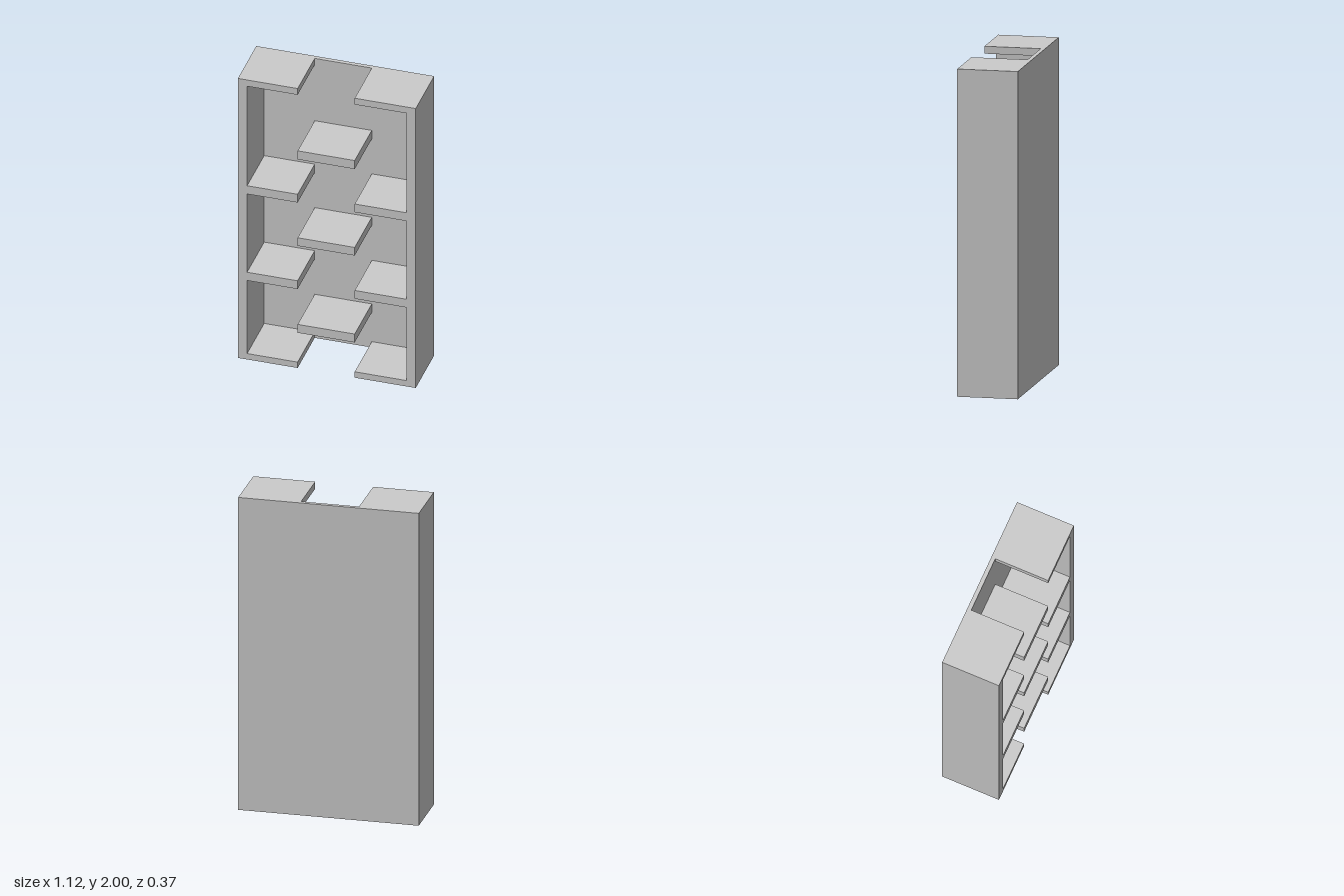
import * as THREE from 'three';

const FRONT = 0.186, BACK = -0.186, PANEL_FRONT = -0.16;
const OUTER = 0.558, WALL = 0.5;           // outer and inner faces of the side walls
const GAP_LEFT = 0.175, GAP_RIGHT = -0.183; // x of the side shelves' inner ends

// [bottom, top] heights of the shelves
const SIDE_SHELVES = [[0, 0.042], [0.565, 0.624], [1.184, 1.243], [1.955, 2]];
const MIDDLE_SHELVES = [[0.252, 0.312], [0.874, 0.932], [1.493, 1.554]];

export function createModel() {
  const group = new THREE.Group();
  const material = new THREE.MeshStandardMaterial({ color: 0xcccccc, flatShading: true });

  function add(name, geometry) {
    const mesh = new THREE.Mesh(geometry, material);
    mesh.name = name;
    group.add(mesh);
    return mesh;
  }

  function addBox(name, x0, x1, y0, y1, z0, z1) {
    add(name, new THREE.BoxGeometry(x1 - x0, y1 - y0, z1 - z0))
      .position.set((x0 + x1) / 2, (y0 + y1) / 2, (z0 + z1) / 2);
  }

  // Side wall and its shelves as one comb-shaped outline, extruded front to back
  function addSide(name, side, shelfEnd) {
    const outline = [[side * OUTER, 2], [side * OUTER, 0]];
    SIDE_SHELVES.forEach(([bottom, top], i) => {
      if (i > 0) outline.push([side * WALL, bottom]);
      outline.push([shelfEnd, bottom], [shelfEnd, top]);
      if (i < SIDE_SHELVES.length - 1) outline.push([side * WALL, top]);
    });
    const shape = new THREE.Shape(outline.map(([x, y]) => new THREE.Vector2(x, y)));
    const depth = FRONT - PANEL_FRONT;
    add(name, new THREE.ExtrudeGeometry(shape, { depth, bevelEnabled: false }))
      .position.z = PANEL_FRONT;
  }

  addBox('backPanel', -OUTER, OUTER, 0, 2, BACK, PANEL_FRONT);
  addSide('leftWallWithShelves', 1, GAP_LEFT);
  addSide('rightWallWithShelves', -1, GAP_RIGHT);

  // Staggered shelves down the middle, fixed to the back panel
  MIDDLE_SHELVES.forEach(([bottom, top], i) =>
    addBox(`middleShelf${i + 1}`, GAP_RIGHT, GAP_LEFT, bottom, top, PANEL_FRONT, FRONT));

  return group;
}
